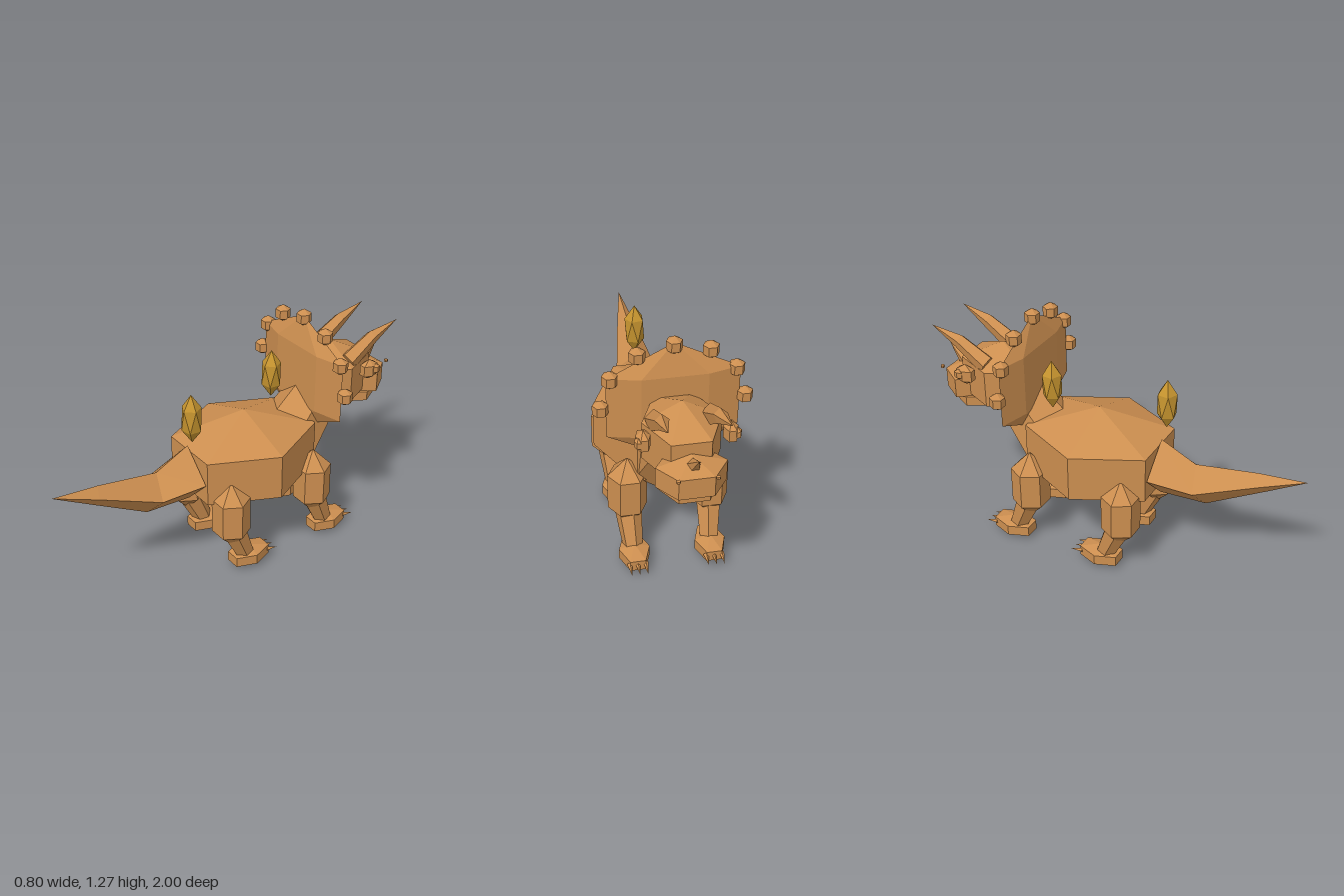
import * as THREE from 'three';

const hide = new THREE.MeshStandardMaterial({ color: 0xcd8f50 });
hide.name = 'tan hide';
const gold = new THREE.MeshStandardMaterial({ color: 0xc6942f });
gold.name = 'gold crystal';

// Facet a geometry so every face has its own normal
function facet(geo) {
  const g = geo.index ? geo.toNonIndexed() : geo;
  g.computeVertexNormals();
  return g;
}

function add(parent, name, geo, pos, material = hide) {
  const mesh = new THREE.Mesh(facet(geo), material);
  mesh.name = name;
  mesh.position.set(...pos);
  parent.add(mesh);
  return mesh;
}

// Six-sided chunky ellipsoid: two rings and two poles
function blob(parent, name, pos, [rx, ry, rz]) {
  return add(parent, name, new THREE.SphereGeometry(1, 6, 3).scale(rx, ry, rz), pos);
}

// Tapered prism or cone between two points
function limb(parent, name, from, to, r0, r1, sides = 6) {
  const a = new THREE.Vector3(...from), b = new THREE.Vector3(...to);
  const d = b.clone().sub(a);
  const geo = new THREE.CylinderGeometry(r1, r0, d.length(), sides);
  const mesh = add(parent, name, geo, a.clone().add(b).multiplyScalar(0.5).toArray());
  mesh.quaternion.setFromUnitVectors(new THREE.Vector3(0, 1, 0), d.normalize());
  return mesh;
}

// Bent, pointed tube through rings of [x, y, z, radius, slope], closed at its base
function spike(parent, name, rings, sides) {
  const pts = [], idx = [];
  for (const [x, y, z, r, slope] of rings) {
    for (let i = 0; i < sides; i++) {
      const a = (i / sides) * Math.PI * 2;
      const dy = r * Math.cos(a);
      pts.push(x + r * Math.sin(a), y + dy, z - slope * dy);
    }
  }
  const flip = rings[1][2] < rings[0][2];
  const tri = (a, b, c) => (flip ? idx.push(a, c, b) : idx.push(a, b, c));
  for (let k = 0; k < rings.length - 1; k++) {
    for (let i = 0; i < sides; i++) {
      const j = (i + 1) % sides, p = k * sides, q = p + sides;
      tri(p + i, q + i, p + j);
      if (k < rings.length - 2) tri(p + j, q + i, q + j);
    }
  }
  for (let i = 1; i < sides - 1; i++) tri(0, i, i + 1);
  const geo = new THREE.BufferGeometry();
  geo.setAttribute('position', new THREE.Float32BufferAttribute(pts, 3));
  geo.setIndex(idx);
  return add(parent, name, geo, [0, 0, 0]);
}

function buildLeg(name, x, z) {
  const leg = new THREE.Group();
  leg.name = name;
  blob(leg, 'thigh', [x, 0.365, z], [0.115, 0.195, 0.115]);
  limb(leg, 'shin', [x, 0.27, z - 0.01], [x * 0.95, 0.07, z - 0.095], 0.07, 0.05);
  blob(leg, 'foot', [x * 0.94, 0.055, z - 0.12], [0.09, 0.055, 0.14]);
  for (const s of [-1, 0, 1]) {
    const cx = x * 0.94 + s * 0.04;
    limb(leg, 'claw', [cx, 0.06, z - 0.21], [cx, 0.045, z - 0.28], 0.014, 0, 4);
  }
  return leg;
}

export function createModel() {
  const model = new THREE.Group();
  model.name = 'hornedDinosaur';

  // The animal faces -z, turned slightly to one side
  const animal = new THREE.Group();
  animal.name = 'animal';
  animal.position.set(-0.06, 0, -0.09);
  animal.rotation.y = -0.205;
  model.add(animal);

  // Trunk, neck and tail
  blob(animal, 'body', [0, 0.565, 0], [0.378, 0.245, 0.458]);
  limb(animal, 'neck', [0, 0.5, -0.235], [0, 0.76, -0.465], 0.19, 0.145);
  spike(animal, 'tail', [
    [0, 0.56, 0.35, 0.16, 0],
    [0, 0.523, 0.572, 0.108, 0.3],
    [0, 0.638, 0.889, 0.048, 0.4],
    [0, 0.71, 1.113, 0, 0],
  ], 4);

  // Legs
  for (const side of [-1, 1]) {
    const label = side < 0 ? 'A' : 'B';
    animal.add(buildLeg('frontLeg' + label, side * 0.207, -0.3));
    animal.add(buildLeg('hindLeg' + label, side * 0.207, 0.23));
  }

  // Frill with a fan of knobs along its rim
  blob(animal, 'frill', [0, 0.915, -0.378], [0.367, 0.32, 0.055]);
  for (let i = 0; i <= 6; i++) {
    const a = (i / 6) * Math.PI;
    const pos = [0.345 * Math.cos(a), 0.915 + 0.308 * Math.sin(a), -0.378];
    blob(animal, 'frillKnob', pos, [0.045, 0.047, 0.045]);
  }

  // Head
  const head = new THREE.Group();
  head.name = 'head';
  animal.add(head);
  blob(head, 'skull', [0, 0.847, -0.562], [0.215, 0.195, 0.265]);
  blob(head, 'snout', [0, 0.787, -0.766], [0.19, 0.105, 0.15]);
  blob(head, 'jaw', [0, 0.71, -0.72], [0.165, 0.052, 0.165]);
  limb(head, 'noseHorn', [0, 0.84, -0.785], [0, 0.95, -0.9], 0.042, 0, 5);
  for (const s of [-1, 1]) {
    spike(head, 'browHorn', [
      [s * 0.13, 0.96, -0.58, 0.048, -0.55],
      [s * 0.13, 1.06, -0.74, 0.034, -0.5],
      [s * 0.138, 1.117, -0.9, 0, 0],
    ], 5);
    blob(head, 'eye', [s * 0.2, 0.92, -0.665], [0.04, 0.057, 0.06]);
    blob(head, 'pupil', [s * 0.225, 0.925, -0.69], [0.022, 0.03, 0.03]);
    blob(head, 'nostril', [s * 0.089, 0.85, -0.896], [0.012, 0.012, 0.012]);
  }

  // Two crystals floating above the back, each standing on a point
  for (const [y, z] of [[0.9, 0.265], [0.912, -0.33]]) {
    const geo = new THREE.IcosahedronGeometry(1, 0);
    geo.rotateX(-Math.atan2((1 + Math.sqrt(5)) / 2, 1));
    geo.scale(0.057, 0.135, 0.057);
    add(model, 'crystal', geo, [-0.085, y, z], gold);
  }
  return model;
}
